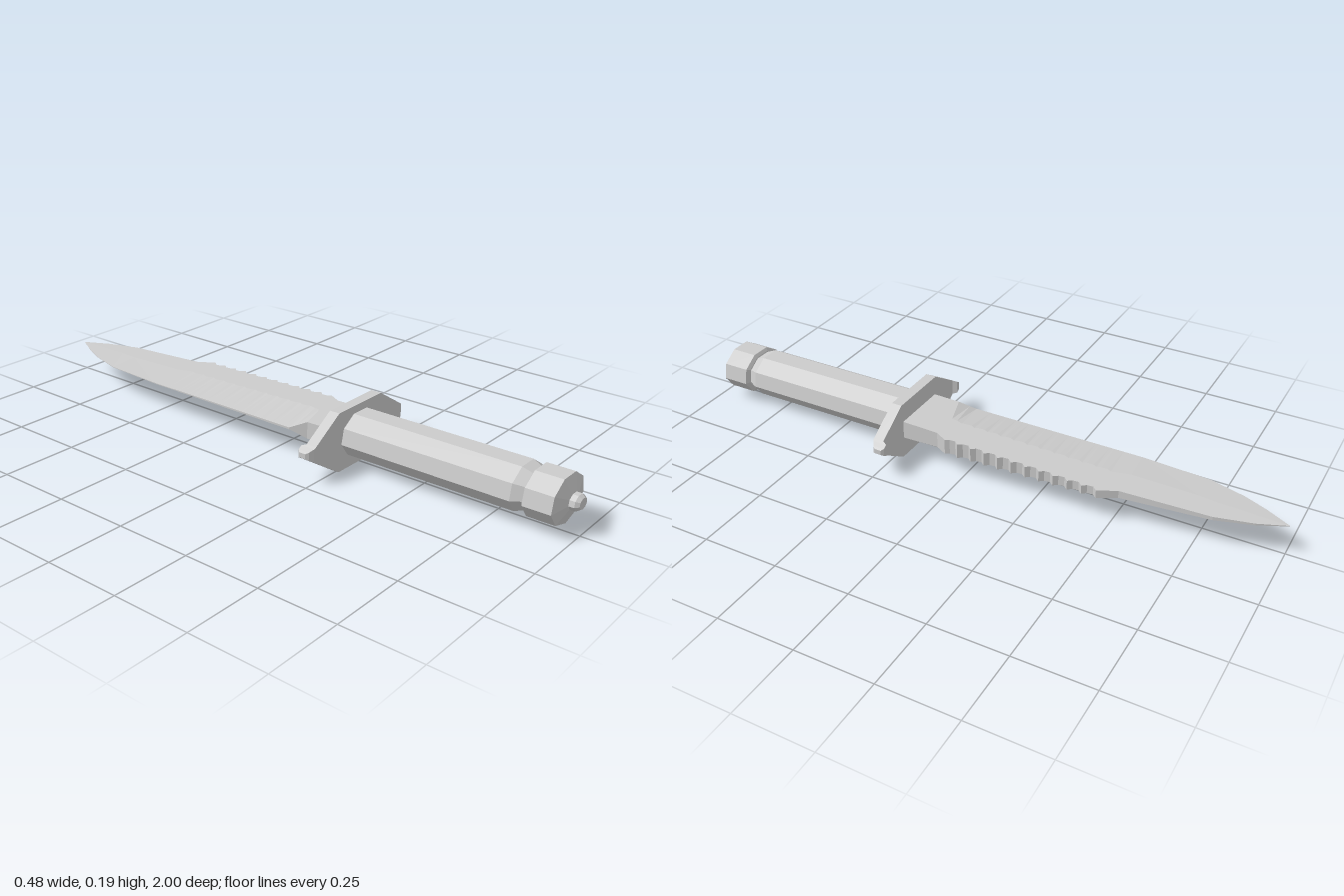
import * as THREE from 'three';

const material = new THREE.MeshStandardMaterial({ color: 0xcccccc, flatShading: true });

function part(name, geometry) {
  const mesh = new THREE.Mesh(geometry, material);
  mesh.name = name;
  return mesh;
}

// Joins a row of equal-length convex rings, closing both ends
function loft(rings) {
  const n = rings[0].length;
  const index = [];
  for (let i = 0; i < rings.length - 1; i++) {
    for (let j = 0; j < n; j++) {
      const a = i * n + j, b = i * n + (j + 1) % n;
      index.push(a, b, b + n, a, b + n, a + n);
    }
  }
  const last = (rings.length - 1) * n;
  for (let j = 1; j < n - 1; j++) {
    index.push(0, j + 1, j, last, last + j, last + j + 1);
  }
  const geometry = new THREE.BufferGeometry();
  geometry.setAttribute('position', new THREE.Float32BufferAttribute(rings.flat(2), 3));
  geometry.setIndex(index);
  geometry.computeVertexNormals();
  return geometry;
}

// Nine-sided oval turning along z from [radius, z] pairs
function turned(profile) {
  const points = profile.map(([r, z]) => new THREE.Vector2(r, z));
  return new THREE.LatheGeometry(points, 9)
    .rotateX(Math.PI / 2)
    .scale(1, 0.78, 1)
    .translate(0, 0.099, 0);
}

// Linear lookup in [z, x] pairs sorted by z
function sample(table, z) {
  let i = 0;
  while (i < table.length - 2 && z > table[i + 1][0]) i++;
  const [z0, x0] = table[i], [z1, x1] = table[i + 1];
  return x0 + (x1 - x0) * THREE.MathUtils.clamp((z - z0) / (z1 - z0), 0, 1);
}

function bladeGeometry() {
  // Cutting edge on -x, with a narrower full-thickness root
  const edge = [[-1, -0.001], [-0.918, -0.045], [-0.843, -0.077], [-0.727, -0.109],
    [-0.504, -0.122], [0.08, -0.122], [0.133, -0.098], [0.24, -0.098]];
  // Spine on +x, with a run of saw teeth
  const spine = [[-1, 0.001], [-0.912, 0.04], [-0.796, 0.072], [-0.515, 0.093]];
  const teeth = 11, start = -0.456, pitch = 0.516 / teeth;
  for (let i = 0; i < teeth; i++) {
    const z = start + i * pitch;
    spine.push([z, 0.124], [z + pitch * 0.3, 0.111], [z + pitch * 0.7, 0.113]);
  }
  spine.push([0.06, 0.12], [0.1, 0.098], [0.24, 0.098]);

  const stations = [...new Set([...edge, ...spine].map(p => p[0]))].sort((a, b) => a - b);
  return loft(stations.map(z => {
    const left = sample(edge, z), right = sample(spine, z);
    const middle = left + (right - left) * 0.55;
    const h = 0.001 + 0.029 * (z + 1) / 1.24;
    const thin = sample([[0.08, 0.12], [0.133, 1]], z) * h;
    const y = 0.1;
    return [[left, y - thin, z], [middle, y - h, z], [right, y - h, z],
      [right, y + h, z], [middle, y + h, z], [left, y + thin, z]];
  }));
}

function guardGeometry() {
  // [x, half height, blade-side z, grip-side z]: tips curl toward the blade
  const half = [[0.105, 0.0965, 0.225, 0.26], [0.215, 0.026, 0.225, 0.26],
    [0.222, 0.021, 0.211, 0.258], [0.235, 0.013, 0.211, 0.25], [0.242, 0.008, 0.219, 0.241]];
  const mirrored = half.map(([x, ...rest]) => [-x, ...rest]).reverse();
  return loft([...mirrored, ...half].map(([x, h, z0, z1]) => {
    const y = 0.0965;
    return [[x, y - h, z0], [x, y + h, z0], [x, y + h, z1], [x, y - h, z1]];
  }));
}

export function createModel() {
  const model = new THREE.Group();
  model.name = 'knife';
  model.add(
    part('blade', bladeGeometry()),
    part('guard', guardGeometry()),
    part('grip', turned([[0, 0.25], [0.094, 0.25], [0.094, 0.828], [0.076, 0.862], [0, 0.862]])),
    part('pommel', turned([[0, 0.86], [0.082, 0.86], [0.096, 0.867], [0.096, 0.955],
      [0.034, 0.972], [0, 0.972]])),
    part('pommelStud', turned([[0, 0.965], [0.032, 0.965], [0.032, 0.989], [0.022, 1], [0, 1]])),
  );
  return model;
}
